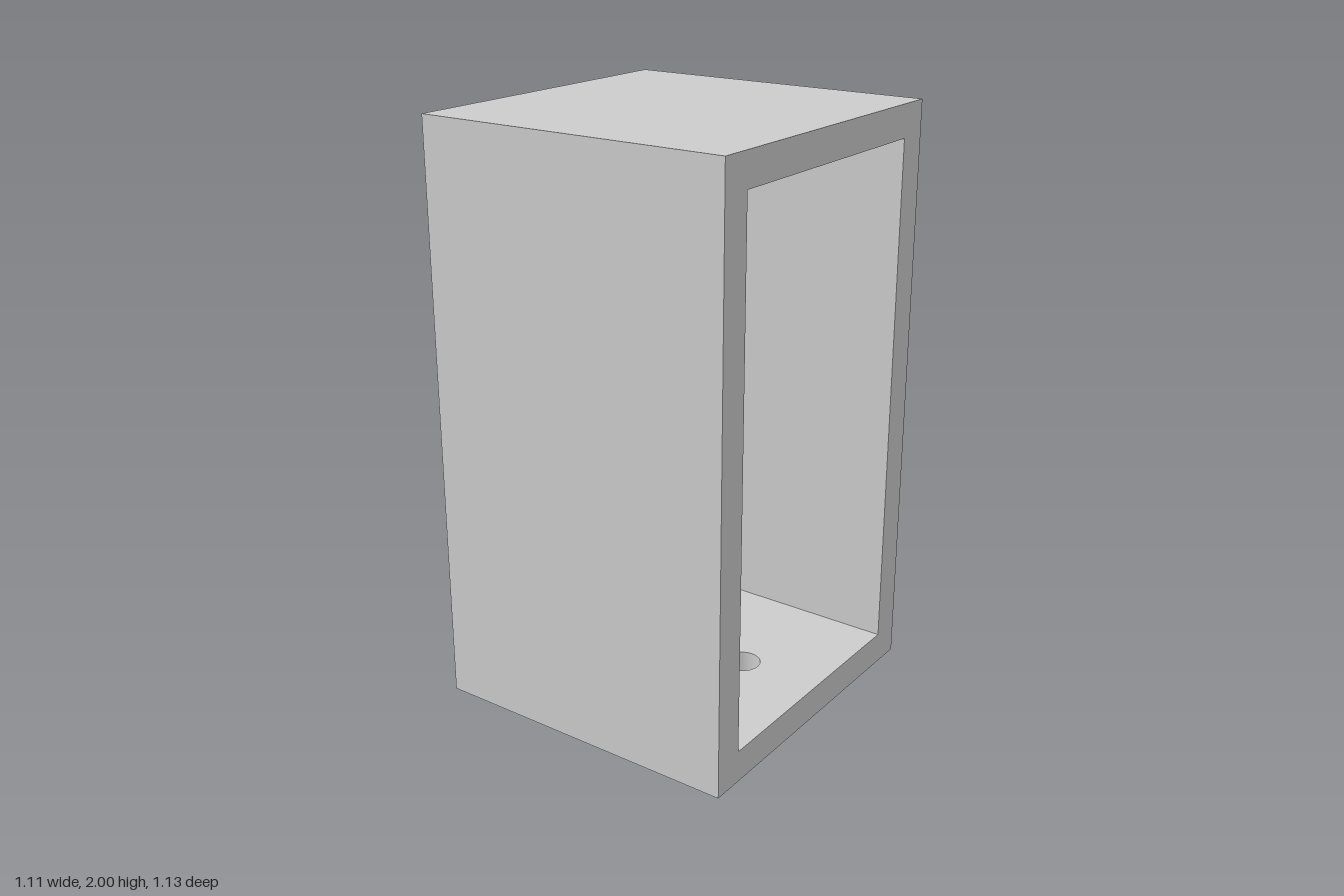
import * as THREE from 'three';
import { toCreasedNormals } from 'three/addons/utils/BufferGeometryUtils.js';

const W = 1.106, D = 1.126, H = 2; // overall x, z, y
const T = 0.11;                    // wall thickness
const HOLE_Z = -0.015;             // centre of the hole pattern

function polygon(points) {
  return new THREE.Shape(points.map(([x, y]) => new THREE.Vector2(x, y)));
}

function extrude(shape, depth) {
  const geometry = new THREE.ExtrudeGeometry(shape, { depth, bevelEnabled: false, curveSegments: 40 });
  return toCreasedNormals(geometry, 0.6);
}

export function createModel() {
  const group = new THREE.Group();
  group.name = 'openBoxBracket';
  const material = new THREE.MeshStandardMaterial({ color: 0xcccccc });
  const w = W / 2, d = D / 2, di = d - T;

  // Front wall, roof and back wall as one arch, open at both sides
  const arch = polygon([
    [-d, T], [-di, T], [-di, H - T], [di, H - T],
    [di, T], [d, T], [d, H], [-d, H],
  ]);
  const walls = new THREE.Mesh(extrude(arch, W).translate(0, 0, -w).rotateY(Math.PI / 2), material);
  walls.name = 'wallsAndRoof';
  group.add(walls);

  // Floor plate with a central bore and four mounting holes around it
  const plate = polygon([[-w, -d], [w, -d], [w, d], [-w, d]]);
  const addHole = (x, z, r) => {
    plate.holes.push(new THREE.Path().absarc(x, -z, r, 0, Math.PI * 2, true));
  };
  addHole(0, HOLE_Z, 0.1);
  for (let i = 0; i < 4; i++) {
    const a = i * Math.PI / 2;
    addHole(0.26 * Math.cos(a), HOLE_Z + 0.26 * Math.sin(a), 0.062);
  }
  const floor = new THREE.Mesh(extrude(plate, T).rotateX(-Math.PI / 2), material);
  floor.name = 'floorPlate';
  group.add(floor);

  return group;
}
